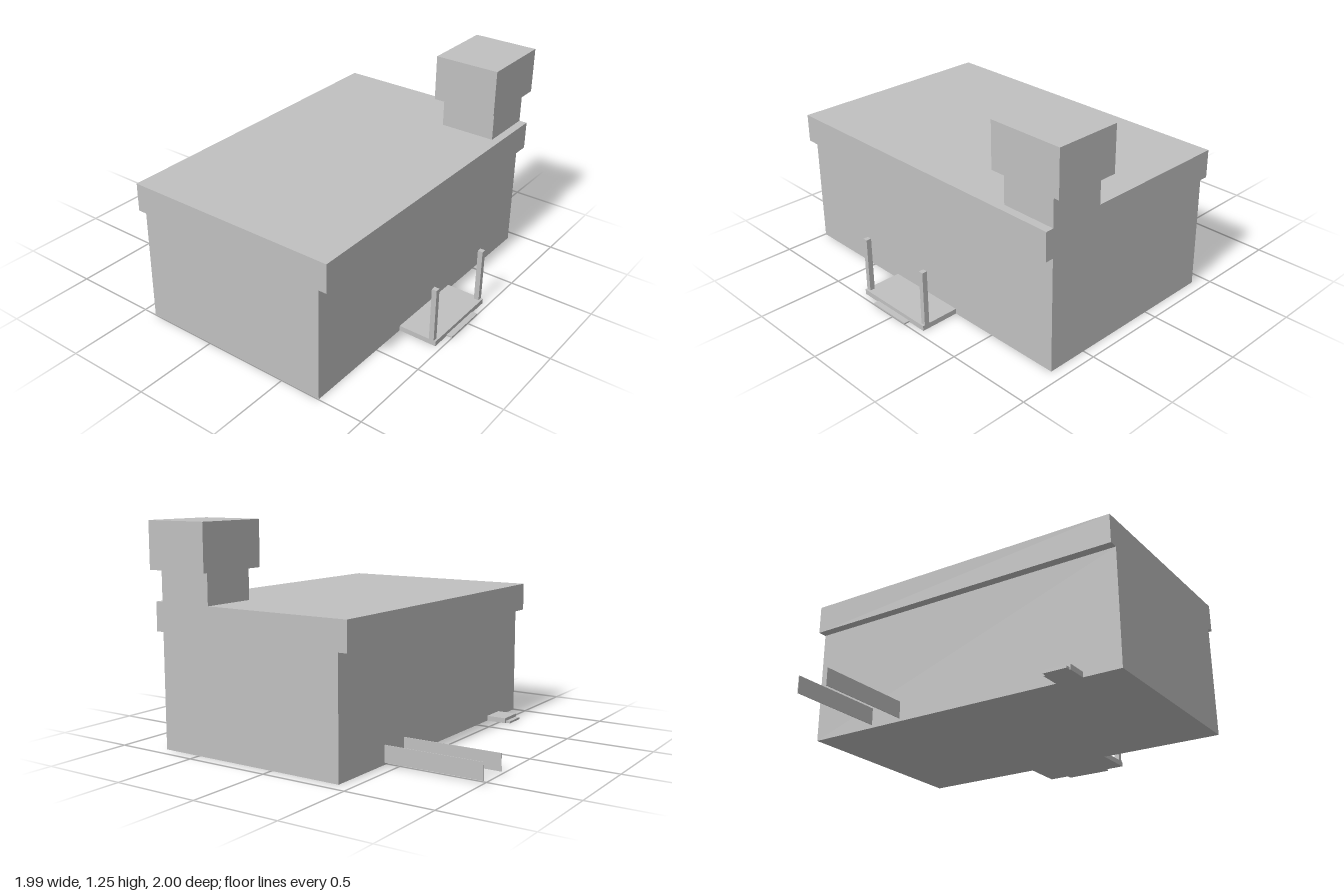
import * as THREE from 'three';

export function createModel() {
  const model = new THREE.Group();
  model.name = 'house';
  const grey = new THREE.MeshStandardMaterial({ color: 0xc0c0c0 });
  grey.name = 'plain grey';

  // Box given by its lower and upper limits on each axis
  function block(name, [x0, x1], [y0, y1], [z0, z1]) {
    const mesh = new THREE.Mesh(new THREE.BoxGeometry(x1 - x0, y1 - y0, z1 - z0), grey);
    mesh.position.set((x0 + x1) / 2, (y0 + y1) / 2, (z0 + z1) / 2);
    mesh.name = name;
    model.add(mesh);
  }

  // Main building and flat roof, flush at the sides and overhanging front and back
  block('walls', [-0.997, 0.932], [0, 0.652], [-0.42, 0.738]);
  block('roof', [-0.997, 0.932], [0.652, 0.815], [-0.473, 0.785]);

  // Chimney with a wider cap
  block('chimney', [0.605, 0.932], [0.815, 0.992], [0.41, 0.738]);
  block('chimneyCap', [0.547, 0.99], [0.992, 1.255], [0.38, 0.765]);

  // Front porch with a low step and two posts
  block('porchFloor', [-0.282, 0.218], [0, 0.03], [0.738, 0.967]);
  block('porchStep', [-0.167, 0.102], [0, 0.008], [0.967, 1]);
  for (const x of [-0.282, 0.19]) {
    block('porchPost', [x, x + 0.028], [0.03, 0.35], [0.925, 0.955]);
  }

  // Back door landing and step
  block('backLanding', [-0.783, -0.633], [0, 0.03], [-0.54, -0.42]);
  block('backStep', [-0.778, -0.645], [0, 0.012], [-0.568, -0.54]);

  // Two thin upright rails behind the house
  for (const x of [0.338, 0.529]) {
    block('backRail', [x - 0.002, x + 0.002], [0.015, 0.11], [-1, -0.425]);
  }
  return model;
}
